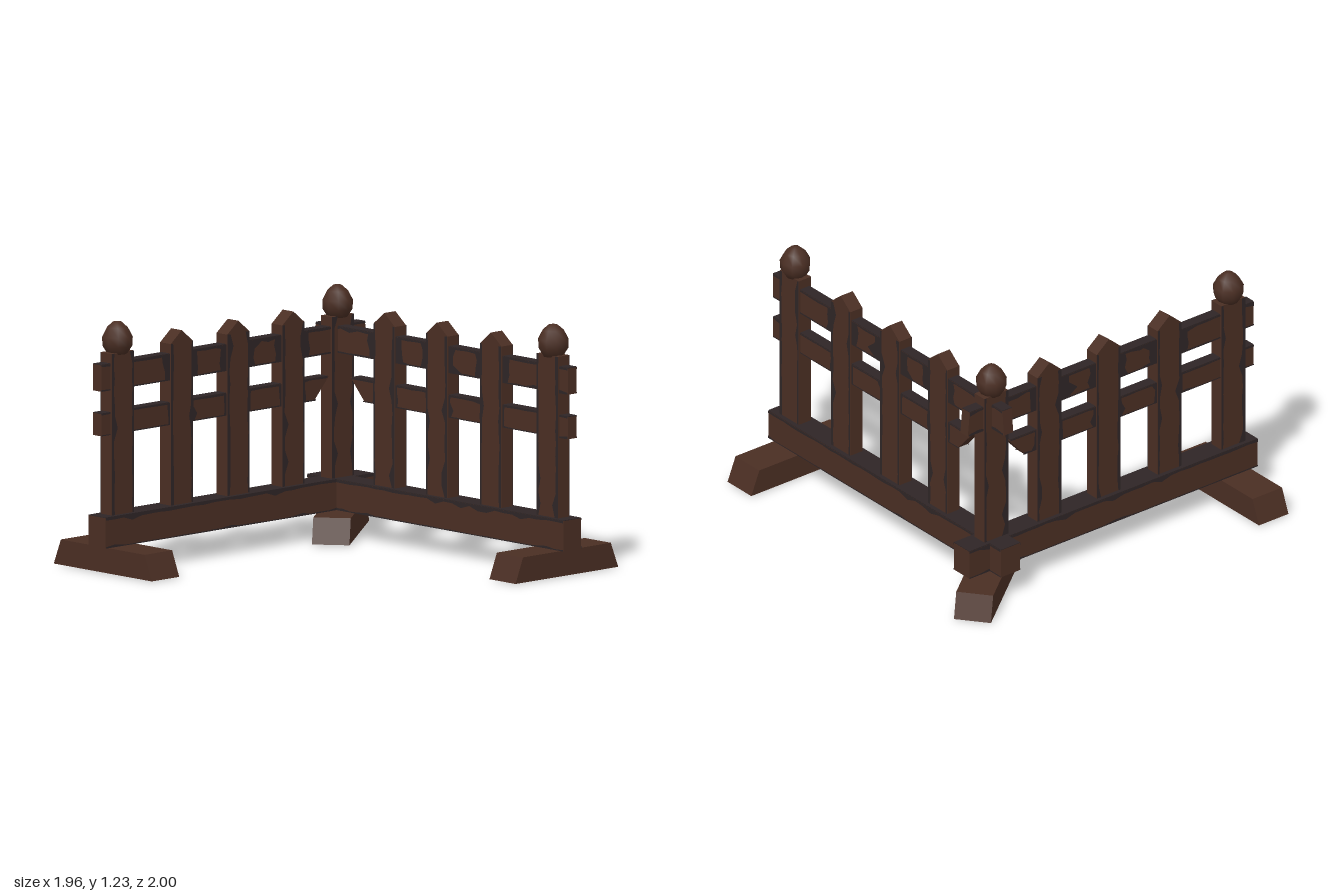
import * as THREE from 'three';

const wood = new THREE.MeshStandardMaterial({ color: 0x4a2e23 });
wood.name = 'brown wood';
const worn = new THREE.MeshStandardMaterial({ color: 0x2e2526, side: THREE.DoubleSide });
worn.name = 'dark worn wood';

// small seeded generator for the ragged edges
let seed = 7;
const rnd = () => (seed = (seed * 16807) % 2147483647) / 2147483647;

function add(parent, name, geometry, material) {
  const mesh = new THREE.Mesh(geometry, material);
  mesh.name = name;
  parent.add(mesh);
  return mesh;
}

// flat outline [x, y] extruded to a thickness centred on z = 0
function board(parent, name, points, depth, material = wood) {
  const shape = new THREE.Shape(points.map(p => new THREE.Vector2(...p)));
  const geometry = new THREE.ExtrudeGeometry(shape, { depth, bevelEnabled: false });
  geometry.translate(0, 0, -depth / 2);
  return add(parent, name, geometry, material);
}

const rect = (x0, x1, y0, y1) => [[x0, y0], [x1, y0], [x1, y1], [x0, y1]];

// ragged dark strip from a to b along an edge, reaching inwards by about w;
// painted on both broad faces (z = +-half)
function wornEdge(parent, vertical, a, b, edge, w, half) {
  for (const side of [-1, 1]) {
    const shape = new THREE.Shape();
    const put = (t, d, first) => {
      const p = vertical ? [edge + d, t] : [t, edge + d];
      first ? shape.moveTo(...p) : shape.lineTo(...p);
    };
    const n = Math.max(3, Math.round((b - a) / 0.06));
    put(a, 0, true);
    for (let i = 0; i <= n; i++) {
      const bulge = rnd() > 0.9 ? 2.2 : 0.7 + 0.5 * rnd();
      put(a + (b - a) * i / n, w * bulge);
    }
    put(b, 0);
    const mesh = add(parent, 'wornEdge', new THREE.ShapeGeometry(shape), worn);
    mesh.position.z = side * (half + 0.002);
  }
}

// dark plate lying on an upper face
function wornTop(parent, x0, x1, y, depth) {
  const plate = add(parent, 'wornTop', new THREE.BoxGeometry(x1 - x0, 0.004, depth), worn);
  plate.position.set((x0 + x1) / 2, y + 0.001, 0);
}

// upright with either a flat or a pointed top
function upright(parent, name, x, pointed) {
  const h = 0.074, points = rect(x - h, x + h, 0.27, 1.08);
  if (pointed) points.splice(3, 0, [x, 1.14]);
  board(parent, name, points, 0.075);
  wornEdge(parent, true, 0.28, 1.08, x - h, 0.018, 0.0375);
  wornEdge(parent, true, 0.28, 1.08, x + h, -0.012, 0.0375);
}

// rounded knob on top of a post
function finial(parent, x) {
  const profile = [[0, 1.07], [0.048, 1.07], [0.074, 1.11], [0.076, 1.155], [0.052, 1.2], [0.022, 1.226], [0, 1.23]];
  const geometry = new THREE.LatheGeometry(profile.map(p => new THREE.Vector2(...p)), 9);
  add(parent, 'finial', geometry, wood).position.x = x;
}

// trapezoid foot running along local x
function foot(parent, name) {
  const group = new THREE.Group();
  group.name = name;
  board(group, 'footBlock', [[-0.345, 0], [0.345, 0], [0.295, 0.125], [-0.295, 0.125]], 0.184);
  const groove = add(group, 'footGroove', new THREE.BoxGeometry(0.54, 0.004, 0.05), worn);
  groove.position.y = -0.001;
  parent.add(group);
  return group;
}

// one straight fence section along local x
function fenceWing(name, hasCornerPost) {
  const wing = new THREE.Group();
  wing.name = name;

  // ground beam
  board(wing, 'groundBeam', rect(-0.98, 0.82, 0.13, 0.28), 0.12);
  wornTop(wing, -0.98, 0.82, 0.28, 0.12);
  wornEdge(wing, false, -0.98, 0.82, 0.28, -0.013, 0.06);
  wornEdge(wing, false, -0.98, 0.82, 0.13, 0.006, 0.06);

  // rails, the middle one broken off short
  board(wing, 'topRail', [[-0.98, 0.9], [0.805, 0.9], [0.793, 1.03], [-0.98, 1.03]], 0.058);
  board(wing, 'brokenMiddleRail', [[-0.98, 0.68], [0.45, 0.68], [0.55, 0.79], [-0.98, 0.79]], 0.058);
  wornTop(wing, -0.98, 0.793, 1.03, 0.058);
  wornTop(wing, -0.98, 0.54, 0.79, 0.058);
  wornEdge(wing, false, -0.98, 0.793, 1.03, -0.01, 0.029);
  wornEdge(wing, false, -0.98, 0.8, 0.9, 0.008, 0.029);
  wornEdge(wing, false, -0.98, 0.54, 0.79, -0.008, 0.029);
  wornEdge(wing, false, -0.98, 0.46, 0.68, 0.006, 0.029);

  // pickets, with the rails darkened next to them
  for (const x of [-0.447, -0.067, 0.303]) {
    upright(wing, 'picket', x, true);
    for (const side of [-1, 1]) {
      wornEdge(wing, true, 0.9, 1.03, x + side * 0.07, side * 0.05, 0.0295);
      wornEdge(wing, true, 0.68, 0.79, x + side * 0.07, side * 0.018, 0.0295);
    }
  }

  // posts with finials
  for (const x of hasCornerPost ? [-0.845, 0.635] : [-0.845]) {
    upright(wing, 'post', x, false);
    finial(wing, x);
  }

  // foot under the free end
  const endFoot = foot(wing, 'endFoot');
  endFoot.position.x = -0.85;
  endFoot.rotation.y = Math.PI / 2;
  return wing;
}

export function createModel() {
  const model = new THREE.Group();
  model.name = 'cornerFence';

  const back = fenceWing('backWing', true);
  back.position.z = -0.655;
  const left = fenceWing('leftWing', false);
  left.rotation.y = Math.PI / 2;
  left.position.set(0.632, 0, 0.02);
  model.add(back, left);

  // diagonal foot under the corner
  const cornerFoot = foot(model, 'cornerFoot');
  cornerFoot.position.set(0.657, 0, -0.657);
  cornerFoot.rotation.y = 0.67;
  return model;
}
